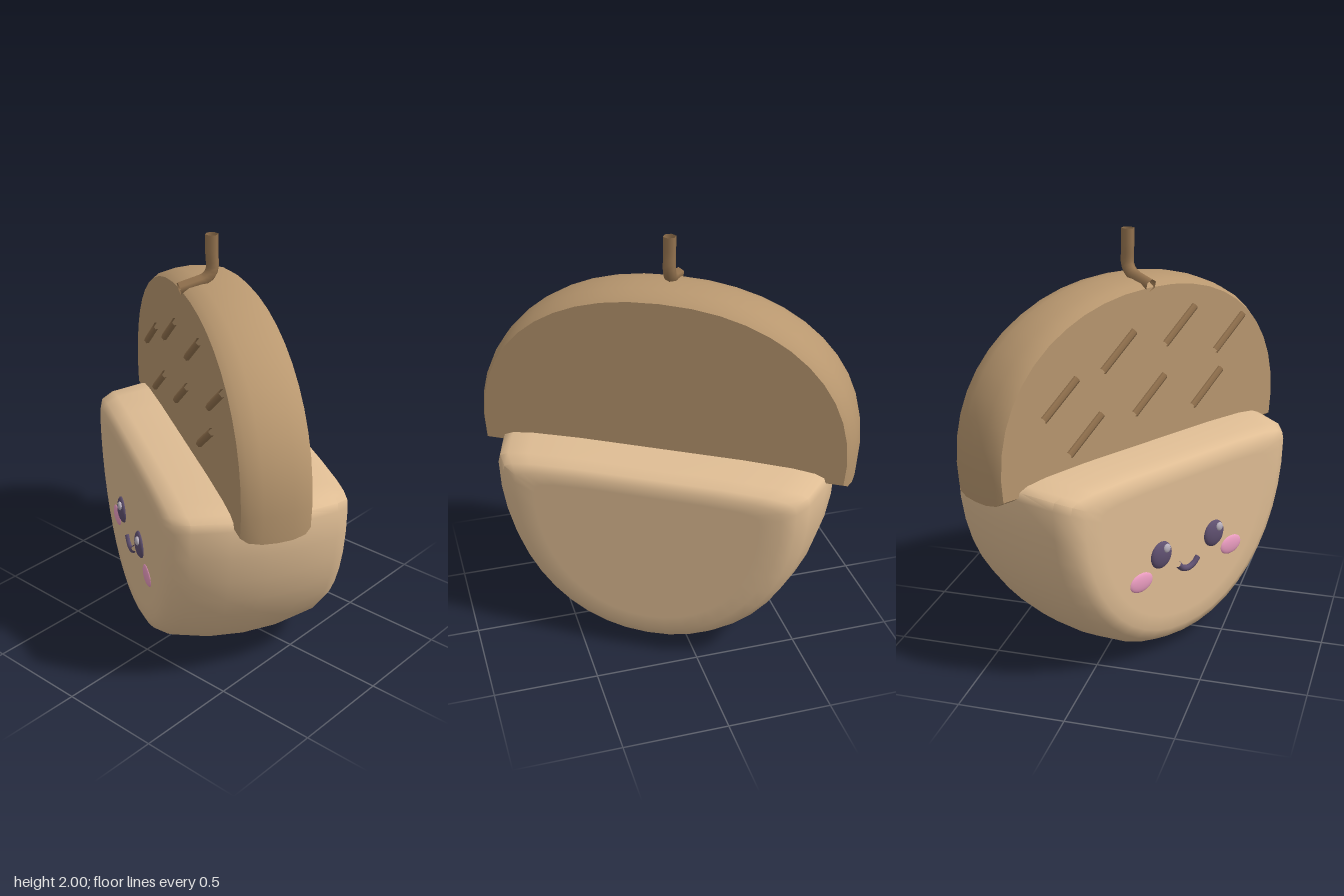
import * as THREE from 'three';
import { toCreasedNormals } from 'three/addons/utils/BufferGeometryUtils.js';

const mat = (color, side = THREE.FrontSide) => new THREE.MeshStandardMaterial({ color, side });
const SHELL = mat(0xdfbd94), CAP = mat(0xb8976f), BARK = mat(0x94734f, THREE.DoubleSide);
const EYE = mat(0x5f5070), SHINE = mat(0xb8b0bc), BLUSH = mat(0xea9cc0);

function add(parent, name, geometry, material) {
  const mesh = new THREE.Mesh(geometry, material);
  mesh.name = name;
  parent.add(mesh);
  return mesh;
}

// Half superellipse from angle 0 to PI; sign +1 bulges up, -1 bulges down
function arc(a, base, h, n, sign, steps = 22) {
  return Array.from({ length: steps + 1 }, (_, i) => {
    const t = (i / steps) * Math.PI, c = Math.cos(t), s = Math.max(0, Math.sin(t));
    return [a * Math.sign(c) * Math.abs(c) ** (2 / n), base + sign * h * s ** (2 / n)];
  });
}

// Joins counter-clockwise outlines, ordered back to front, and closes both ends
function loft(sections, midY) {
  const shrink = ([z, pts]) => [z, pts.map(([x, y]) => [x * 0.85, midY + (y - midY) * 0.85])];
  const rings = [shrink(sections[0]), ...sections, shrink(sections[sections.length - 1])];
  const n = rings[0][1].length, pos = [], idx = [];
  for (const [z, pts] of rings) for (const [x, y] of pts) pos.push(x, y, z);
  const back = pos.length / 3, front = back + 1, last = (rings.length - 1) * n;
  pos.push(0, midY, rings[0][0], 0, midY, rings[rings.length - 1][0]);
  for (let j = 0; j < n; j++) {
    const k = (j + 1) % n;
    for (let i = 0; i < rings.length - 1; i++) {
      const a = i * n + j, b = i * n + k;
      idx.push(a, b, b + n, a, b + n, a + n);
    }
    idx.push(back, k, j, front, last + j, last + k);
  }
  const geo = new THREE.BufferGeometry();
  geo.setAttribute('position', new THREE.Float32BufferAttribute(pos, 3));
  geo.setIndex(idx);
  return toCreasedNormals(geo, 0.9);
}

// Repeats half a set of section rows on the other side of z = 0
const mirrorRows = rows => [...rows.map(([z, ...r]) => [-z, ...r]), ...rows.slice(0, -1).reverse()];

function shellOutline(a, bottom, top) {
  const base = top - 0.075, h = top - base;
  const corner = [[0.985, 0.5], [0.93, 0.74], [0.8, 0.9], [0.5, 1]].map(([u, v]) => [a * u, base + h * v]);
  const left = corner.map(([x, y]) => [-x, y]).reverse();
  const under = arc(a, base, base - bottom, 2.1, -1).reverse(); // left to right
  return [...corner, ...left, ...under];
}

function capOutline(a, bottom, top) {
  return [[a * 0.99, bottom], ...arc(a, 1.04, top - 1.04, 2.2, 1), [-a * 0.99, bottom]];
}

function ellipsoid(parent, name, material, x, y, z, rx, ry, rz) {
  const mesh = add(parent, name, new THREE.SphereGeometry(1, 20, 14), material);
  mesh.position.set(x, y, z);
  mesh.scale.set(rx, ry, rz);
}

const tube = (points, r, sides, steps) => new THREE.TubeGeometry(
  new THREE.CatmullRomCurve3(points.map(p => new THREE.Vector3(...p)), false, 'centripetal'), steps, r, sides);

export function createModel() {
  const root = new THREE.Group();
  root.name = 'acorn';
  const acorn = new THREE.Group();
  acorn.name = 'turnedAcorn';
  acorn.rotation.y = THREE.MathUtils.degToRad(-31);
  root.add(acorn);

  // Nut: rows of depth, half width, bottom, top
  const nutRows = mirrorRows([
    [0.43, 0.64, 0.135, 0.945], [0.405, 0.705, 0.085, 0.975], [0.34, 0.752, 0.045, 0.99],
    [0.17, 0.797, 0.01, 0.997], [0, 0.812, 0, 1.0],
  ]);
  add(acorn, 'nut', loft(nutRows.map(([z, a, b, t]) => [z, shellOutline(a, b, t)]), 0.6), SHELL);

  // Cap slab with a softly rounded rim
  const capRows = mirrorRows([
    [0.16, 0.885, 0.935, 1.745], [0.13, 0.902, 0.915, 1.765], [0.07, 0.914, 0.905, 1.777], [0, 0.917, 0.903, 1.782],
  ]);
  add(acorn, 'cap', loft(capRows.map(([z, a, b, t]) => [z, capOutline(a, b, t)]), 1.3), CAP);

  // Slanted ridges on the front of the cap, by centre
  const ridges = [[-0.548, 1.335], [-0.198, 1.485], [0.198, 1.535], [0.543, 1.435],
    [-0.402, 1.135], [0, 1.235], [0.391, 1.185]];
  for (const [x, y] of ridges) {
    add(acorn, 'capRidge', tube([[x - 0.098, y - 0.075, 0.162], [x + 0.098, y + 0.075, 0.162]], 0.02, 6, 1), BARK);
  }

  // Bent stem, open at both ends
  add(acorn, 'stem', tube([[0, 2, 0.015], [0, 1.92, 0.015], [0, 1.83, 0.015], [0, 1.793, 0.045],
    [0, 1.775, 0.1], [0, 1.757, 0.17]], 0.031, 6, 16), BARK);

  // Face
  for (const side of [-1, 1]) {
    ellipsoid(acorn, 'eye', EYE, side * 0.178, 0.555, 0.43, 0.066, 0.067, 0.024);
    ellipsoid(acorn, 'eyeShine', SHINE, side * 0.178 + 0.02, 0.588, 0.448, 0.022, 0.022, 0.012);
    ellipsoid(acorn, 'cheek', BLUSH, side * 0.304, 0.455, 0.428, 0.073, 0.048, 0.015);
  }
  add(acorn, 'mouth', tube([[-0.066, 0.47, 0.432], [-0.038, 0.443, 0.432], [0, 0.432, 0.432],
    [0.038, 0.443, 0.432], [0.066, 0.47, 0.432]], 0.016, 8, 16), EYE).material.side = THREE.DoubleSide;

  return root;
}
